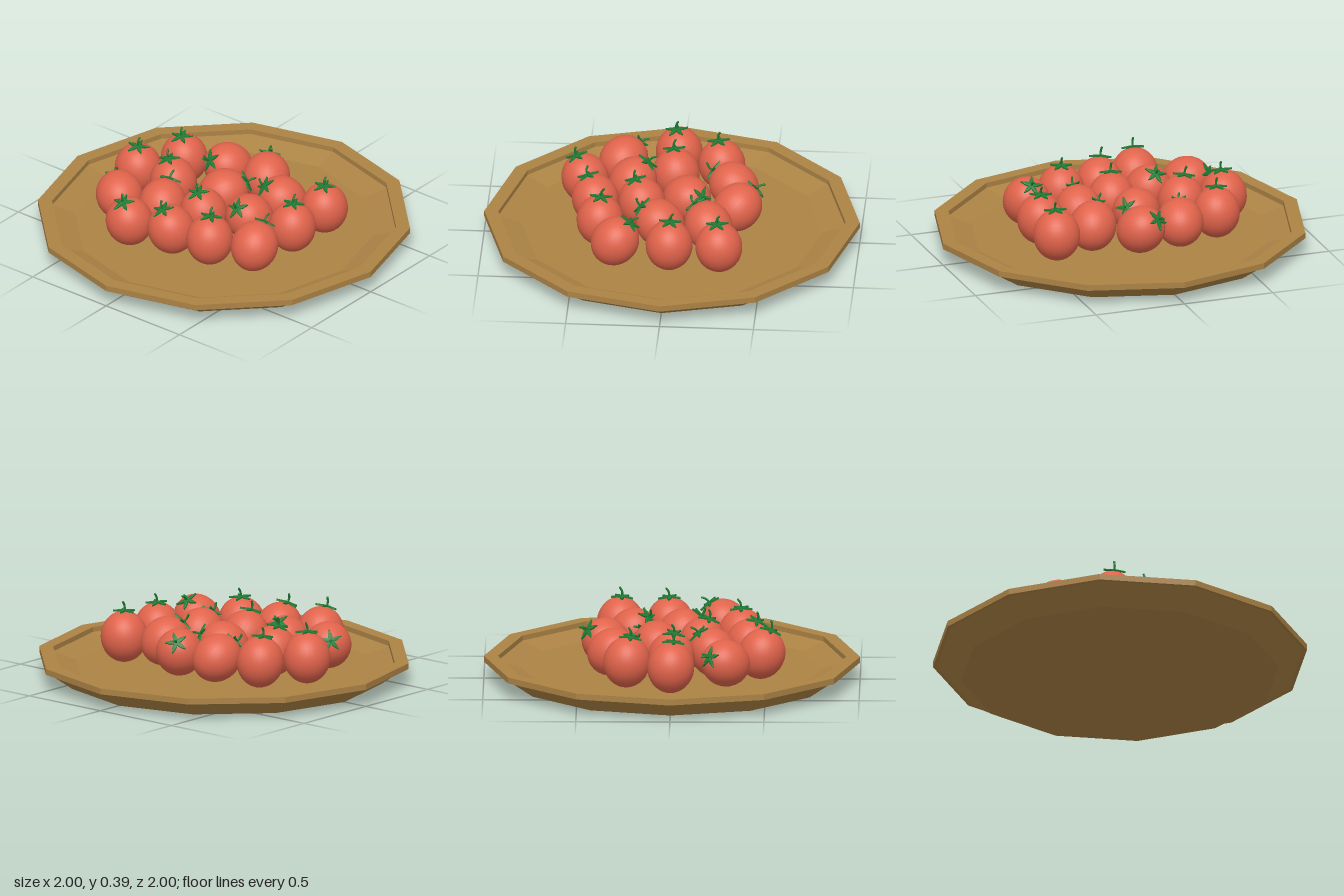
import * as THREE from 'three';

const wood = new THREE.MeshStandardMaterial({ name: 'wood', color: 0xac8345, flatShading: true });
const tomatoRed = new THREE.MeshStandardMaterial({ name: 'tomatoRed', color: 0xe0634b });
const leafGreen = new THREE.MeshStandardMaterial({ name: 'leafGreen', color: 0x1f7a33 });

const RADIUS = 0.125;      // tomato half width
const HALF_HEIGHT = 0.137; // tomato half height along its stem axis

// Tomatoes: x, z, and the sideways offset of the stem end (dx, dz)
const TOMATOES = [
  [-0.29, -0.48, 0.09, -0.1], [0, -0.585, -0.015, 0.01], [0.235, -0.46, -0.02, -0.005],
  [-0.48, -0.26, -0.05, -0.005], [-0.225, -0.24, 0.085, -0.015], [0, -0.345, -0.015, -0.025],
  [0.315, -0.225, -0.12, -0.035], [-0.41, -0.03, -0.045, -0.025], [-0.16, -0.01, -0.04, -0.01],
  [0.075, -0.065, 0.09, 0.095], [0.35, 0.01, 0.1, -0.065], [-0.37, 0.2, 0.005, 0],
  [-0.05, 0.215, -0.105, -0.005], [0.21, 0.23, -0.085, -0.06], [-0.275, 0.43, 0.085, 0],
  [0.015, 0.455, 0.005, 0], [0.28, 0.46, -0.01, 0.005],
];

// Twelve-sided dish with an upright rim
function createDish() {
  const profile = [
    [0, 0], [0.85, 0], [0.98, 0.09], [1, 0.09], [1, 0.122],
    [0.925, 0.122], [0.925, 0.095], [0.8, 0.057], [0, 0.057],
  ].map(([r, y]) => new THREE.Vector2(r, y));
  const dish = new THREE.Mesh(new THREE.LatheGeometry(profile, 12), wood);
  dish.name = 'dish';
  return dish;
}

// One pointed leaf that follows the tomato and curls up at its tip
function createLeafGeometry() {
  const geometry = new THREE.BoxGeometry(1, 0.008, 1, 5, 1, 2);
  const p = geometry.attributes.position;
  for (let i = 0; i < p.count; i++) {
    const t = p.getX(i) + 0.5;
    const side = p.getZ(i);
    const reach = t * 0.062;
    const width = 0.012 + 0.014 * Math.sin(Math.PI * Math.min(1, t * 1.1)) - 0.009 * t;
    const drop = HALF_HEIGHT * (1 - Math.sqrt(1 - (reach / RADIUS) ** 2));
    const curl = 0.012 * t ** 3 - Math.abs(side) * 0.006;
    p.setXYZ(i, reach, p.getY(i) + 0.006 - drop + curl, side * width);
  }
  geometry.computeVertexNormals();
  return geometry;
}

export function createModel() {
  const model = new THREE.Group();
  model.name = 'dishOfTomatoes';
  model.add(createDish());

  const bodyGeometry = new THREE.SphereGeometry(1, 28, 20).scale(RADIUS, HALF_HEIGHT, RADIUS);
  const leafGeometry = createLeafGeometry();
  const stemCurve = new THREE.CatmullRomCurve3([
    new THREE.Vector3(0, -0.004, 0), new THREE.Vector3(0, 0.018, 0),
    new THREE.Vector3(0.004, 0.034, 0), new THREE.Vector3(0.014, 0.048, 0),
  ]);
  const stemGeometry = new THREE.TubeGeometry(stemCurve, 8, 0.006, 7);
  const tipGeometry = new THREE.SphereGeometry(0.006, 7, 5).translate(0.014, 0.048, 0);
  const up = new THREE.Vector3(0, 1, 0);

  for (const [x, z, dx, dz] of TOMATOES) {
    const tomato = new THREE.Group();
    tomato.name = 'tomato';
    const body = new THREE.Mesh(bodyGeometry, tomatoRed);
    body.name = 'tomatoBody';
    tomato.add(body);

    // Leaf star and stem
    const calyx = new THREE.Group();
    calyx.name = 'calyx';
    calyx.position.y = HALF_HEIGHT;
    for (let i = 0; i < 5; i++) {
      const leaf = new THREE.Mesh(leafGeometry, leafGreen);
      leaf.name = 'leaf';
      leaf.rotation.y = Math.PI / 2 + (i * Math.PI * 2) / 5;
      calyx.add(leaf);
    }
    for (const geometry of [stemGeometry, tipGeometry]) {
      const stem = new THREE.Mesh(geometry, leafGreen);
      stem.name = 'stem';
      calyx.add(stem);
    }
    tomato.add(calyx);

    // Tip the tomato towards its stem end
    const sx = dx / 0.145, sz = dz / 0.145;
    const axis = new THREE.Vector3(sx, Math.sqrt(Math.max(0.04, 1 - sx * sx - sz * sz)), sz).normalize();
    tomato.quaternion.setFromUnitVectors(up, axis);
    tomato.position.set(x, 0.2, z);
    model.add(tomato);
  }
  return model;
}
